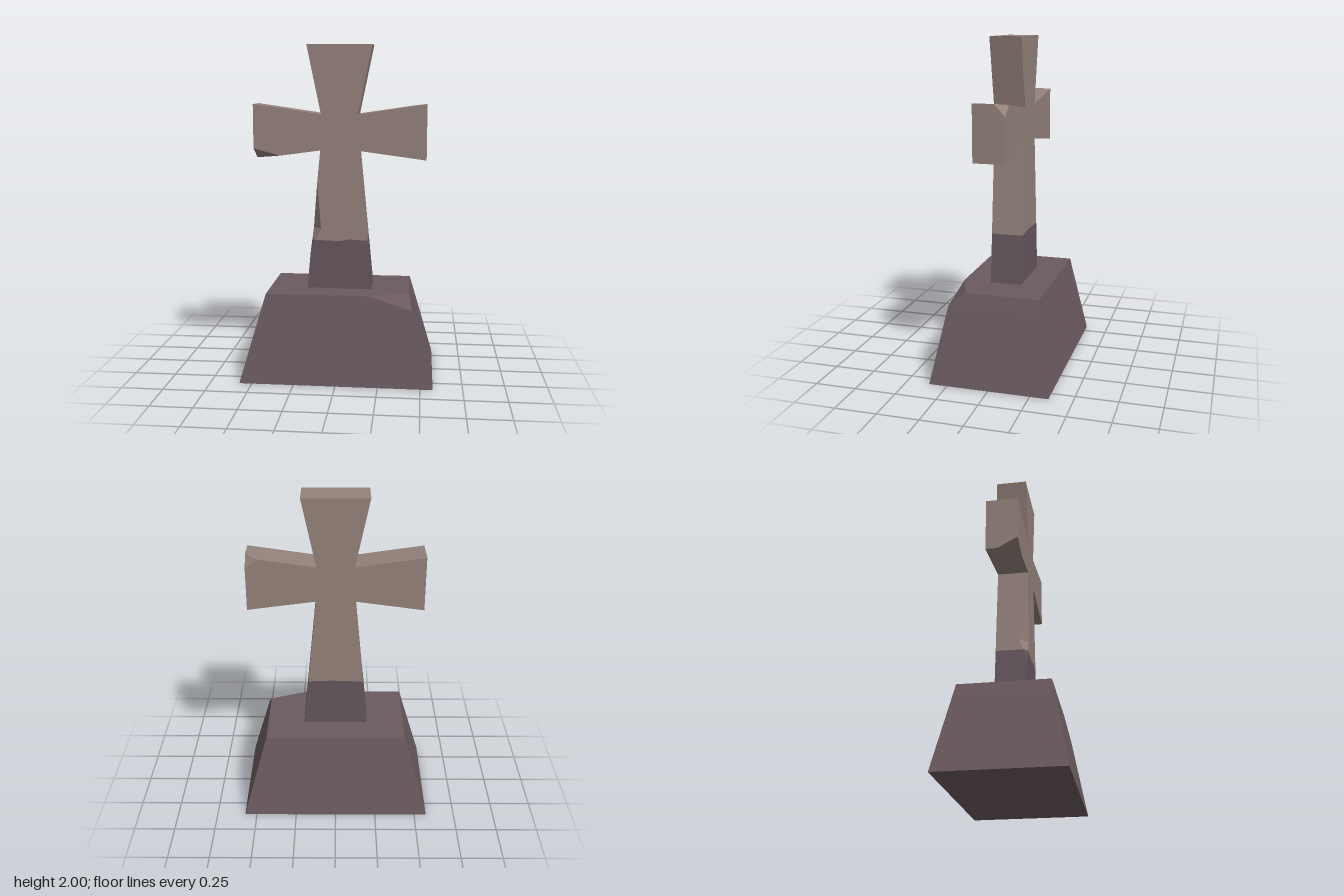
import * as THREE from 'three';

const T = 0.095; // half thickness of the cross

// Joins matching loops of points (counterclockwise seen from the far end) into a hard-edged skin.
function loft(loops, capStart = false, capEnd = false) {
  const pos = [];
  const tri = (a, b, c) => {
    const [p, q, r] = [a, b, c].map((v) => new THREE.Vector3(...v));
    if (q.sub(p).cross(r.sub(p)).length() > 1e-7) pos.push(...a, ...b, ...c);
  };
  const fan = (l) => {
    for (let i = 1; i < l.length - 1; i++) tri(l[0], l[i], l[i + 1]);
  };
  for (let k = 0; k < loops.length - 1; k++) {
    const a = loops[k], b = loops[k + 1], n = a.length;
    for (let i = 0; i < n; i++) {
      const j = (i + 1) % n;
      tri(a[i], a[j], b[j]);
      tri(a[i], b[j], b[i]);
    }
  }
  if (capStart) fan([...loops[0]].reverse());
  if (capEnd) fan(loops[loops.length - 1]);
  const g = new THREE.BufferGeometry();
  g.setAttribute('position', new THREE.Float32BufferAttribute(pos, 3));
  g.computeVertexNormals();
  return g;
}

// Stem section; the front corner on -x may be chipped to front point fx and side point sz.
function stemLoop(y, fx, sz = T, waver = 0) {
  const w = 0.197 - 0.082 * (y - 0.53) / 0.845;
  return [
    [w, y, T], [w, y, -T], [0.03, y + waver, -T], [-w, y, -T],
    [-w, y, sz], [fx ?? -w, y, T], [0, y - waver, T], [0.06, y + waver, T],
  ];
}

export function createModel() {
  const stone = new THREE.MeshStandardMaterial({ color: 0x94827b });
  stone.name = 'weathered stone';
  const damp = new THREE.MeshStandardMaterial({ color: 0x66575f });
  damp.name = 'damp stone';
  const plinthStone = new THREE.MeshStandardMaterial({ color: 0x6a5a5f });
  plinthStone.name = 'plinth stone';

  const model = new THREE.Group();
  model.name = 'stoneCross';
  const add = (name, geometry, material) => {
    const mesh = new THREE.Mesh(geometry, material);
    mesh.name = name;
    model.add(mesh);
  };

  // Tapered plinth with one broken top corner
  const plinthLoop = (y, x, z, front = [x, z], side = [x, z]) => [
    [front[0], y, front[1]], [side[0], y, side[1]], [x, y, -z], [-x, y, -z], [-x, y, z],
  ];
  add('plinth', loft([
    plinthLoop(0, 0.575, 0.36),
    plinthLoop(0.45, 0.448, 0.279),
    plinthLoop(0.53, 0.425, 0.265, [0.19, 0.265], [0.425, 0.18]),
  ], true, true), plinthStone);

  // Stem, damp at the foot with an uneven edge, chipped along one corner
  const dampEdge = stemLoop(0.83, -0.145, 0.072, 0.006);
  add('stemFoot', loft([stemLoop(0.53), stemLoop(0.77), dampEdge]), damp);
  add('stem', loft([
    dampEdge, stemLoop(0.9, -0.112, 0.045), stemLoop(1.18), stemLoop(1.375),
  ]), stone);

  // Centre of the cross, front and back
  const hub = (z) => [[-0.115, 1.375, z], [0.115, 1.375, z], [0.11, 1.59, z], [-0.11, 1.59, z]];
  add('hub', loft([hub(-T), hub(T)], true, true), stone);

  // Flared head
  const headLoop = (y, x) => [[x, y, T], [x, y, -T], [-x, y, -T], [-x, y, T]];
  add('head', loft([headLoop(1.59, 0.11), headLoop(2, 0.195)], false, true), stone);

  // Left arm, chipped at its upper back corner
  add('leftArm', loft([
    [[0.115, 1.375, T], [0.115, 1.375, -T], [0.11, 1.59, -T], [0.11, 1.59, -T], [0.11, 1.59, T]],
    [[0.45, 1.33, T], [0.45, 1.33, -T], [0.45, 1.64, -T], [0.45, 1.64, -T], [0.45, 1.64, T]],
    [[0.52, 1.32, T], [0.52, 1.32, -T], [0.52, 1.58, -T], [0.52, 1.65, -0.03], [0.52, 1.65, T]],
  ], false, true), stone);

  // Right arm, chipped at its lower front corner
  add('rightArm', loft([
    [[-0.115, 1.375, -T], [-0.115, 1.375, T], [-0.115, 1.375, T], [-0.11, 1.59, T], [-0.11, 1.59, -T]],
    [[-0.36, 1.342, -T], [-0.36, 1.342, T], [-0.36, 1.342, T], [-0.36, 1.627, T], [-0.36, 1.627, -T]],
    [[-0.52, 1.32, -T], [-0.52, 1.32, -0.025], [-0.52, 1.385, T], [-0.52, 1.65, T], [-0.52, 1.65, -T]],
  ], false, true), stone);

  return model;
}
